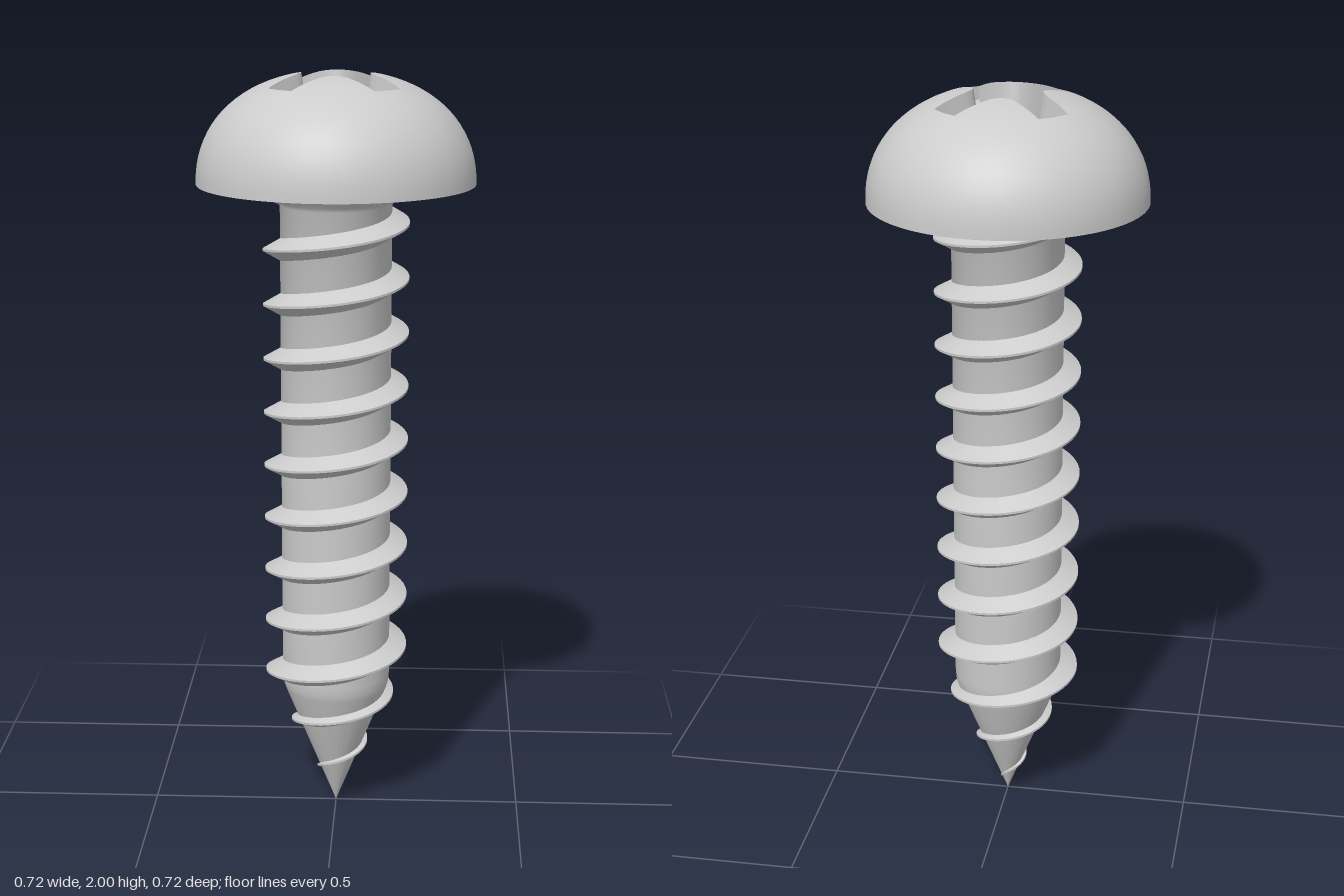
import * as THREE from 'three';
import { toCreasedNormals } from 'three/addons/utils/BufferGeometryUtils.js';

const HEAD_R = 0.36, HEAD_Y = 1.72, HEAD_H = 0.286;
const SHANK_R = 0.145, CONE_TOP = 0.36, PITCH = 0.1445;
const material = new THREE.MeshStandardMaterial({ color: 0xcccccc });
const V = (x, y, z) => new THREE.Vector3(x, y, z);

// Skin a list of cross-sections with triangles, skipping empty ones
function loft(sections, closed, crease) {
  const pos = [], tri = new THREE.Triangle();
  const add = (a, b, c) => {
    if (tri.set(a, b, c).getArea() > 1e-9) for (const p of [a, b, c]) pos.push(p.x, p.y, p.z);
  };
  for (let s = 0; s < sections.length - 1; s++) {
    const a = sections[s], b = sections[s + 1], n = a.length;
    for (let i = 0; i < (closed ? n : n - 1); i++) {
      const j = (i + 1) % n;
      add(a[i], a[j], b[j]);
      add(a[i], b[j], b[i]);
    }
  }
  const g = new THREE.BufferGeometry();
  g.setAttribute('position', new THREE.Float32BufferAttribute(pos, 3));
  return toCreasedNormals(g, crease);
}

function part(name, geometry) {
  const mesh = new THREE.Mesh(geometry, material);
  mesh.name = name;
  return mesh;
}

function lathe(points, crease) {
  const profile = points.map(([r, y]) => new THREE.Vector2(r, y));
  return toCreasedNormals(new THREE.LatheGeometry(profile, 72), crease);
}

const domeY = r => HEAD_Y + HEAD_H * Math.pow(Math.max(0, 1 - Math.pow(r / HEAD_R, 2.2)), 1 / 2.2);

// Cross recess: matching loops for the rim, the foot of the walls and the floor
function recessLoops() {
  const innerY = 1.79, outerY = 1.935;
  const half = [];
  const put = (rx, rz, fx, fz, fy, gx, gz) =>
    half.push([V(rx, domeY(Math.hypot(rx, rz)), rz), V(fx, fy, fz), V(gx, innerY, gz)]);
  // blunt corner between two arms
  put(0, 0.088, 0, 0.056, innerY, 0, 0.056);
  put(0.009, 0.089, 0.009, 0.057, innerY, 0.009, 0.057);
  put(0.018, 0.093, 0.018, 0.061, innerY, 0.018, 0.061);
  // straight side of an arm
  const lerp = THREE.MathUtils.lerp;
  for (let i = 0; i <= 4; i++) {
    const t = i / 4;
    put(lerp(0.031, 0.103, t), lerp(0.1, 0.165, t), lerp(0.031, 0.103, t), lerp(0.068, 0.165, t),
      lerp(innerY, outerY, t), 0.031, 0.068);
  }
  // rounded end of the arm, up to its middle
  const a0 = Math.atan2(0.103, 0.165), b0 = Math.atan2(0.031, 0.068);
  const ro = Math.hypot(0.103, 0.165), ri = Math.hypot(0.031, 0.068);
  for (let i = 1; i <= 3; i++) {
    const a = lerp(a0, Math.PI / 4, i / 3), b = lerp(b0, Math.PI / 4, i / 3);
    const x = ro * Math.sin(a), z = ro * Math.cos(a);
    put(x, z, x, z, outerY, ri * Math.sin(b), ri * Math.cos(b));
  }
  // mirror across the arm, then turn four times
  const mirrored = half.slice(1, -1).reverse().map(c => c.map(p => V(p.z, p.y, p.x)));
  const quarter = [...half, ...mirrored];
  const columns = [];
  for (let q = 0; q < 4; q++) {
    for (const c of quarter) columns.push(c.map(p => p.clone().applyAxisAngle(V(0, 1, 0), q * Math.PI / 2)));
  }
  return [0, 1, 2].map(k => columns.map(c => c[k]));
}

function createHead() {
  const head = new THREE.Group();
  head.name = 'head';
  const [rim, foot, floor] = recessLoops();
  // dome rings run from the round edge to the cross-shaped rim
  const rings = [];
  for (let s = 0; s <= 18; s++) {
    const t = (s / 18) ** 2;
    rings.push(rim.map(p => {
      const r0 = Math.hypot(p.x, p.z), r = THREE.MathUtils.lerp(HEAD_R, r0, t);
      return V(p.x / r0 * r, domeY(r), p.z / r0 * r);
    }));
  }
  head.add(part('dome', loft(rings, true, 0.9)));
  const centre = floor.map(() => V(0, 1.77, 0));
  head.add(part('driveRecess', loft([rim, foot, floor, centre], true, 0.35)));
  head.add(part('headUnderside', lathe([[0.19, HEAD_Y], [HEAD_R, HEAD_Y]], 0.5)));
  return head;
}

// Helical ridge that fades out towards the tip
function createThread() {
  const sections = [], steps = 620, y0 = 0.045, y1 = 1.735;
  for (let i = 0; i <= steps; i++) {
    const y = THREE.MathUtils.lerp(y0, y1, i / steps);
    const phi = (y - 0.463) / PITCH * Math.PI * 2;
    const core = SHANK_R * Math.min(1, y / CONE_TOP);
    const crest = Math.max(core, Math.min(0.191, 0.49 * y));
    const h = 0.032 * Math.min(1, (crest - core) / 0.045) + 0.002;
    const root = Math.max(0, core - 0.008);
    sections.push([[root, h], [crest, 0.003], [crest, -0.003], [root, -h]].map(([r, dy]) =>
      V(r * Math.cos(phi), y + dy, -r * Math.sin(phi))));
  }
  return part('thread', loft(sections, false, 0.5));
}

export function createModel() {
  const screw = new THREE.Group();
  screw.name = 'screw';
  // pointed tip, straight shank and flared neck
  screw.add(part('shank', lathe([
    [0, 0], [0.07, 0.174], [0.138, 0.343], [0.143, 0.36], [SHANK_R, 0.385], [SHANK_R, 1.0], [SHANK_R, 1.665],
    [0.152, 1.676], [0.168, 1.695], [0.185, 1.711], [0.2, HEAD_Y],
  ], 0.6)));
  screw.add(createThread());
  screw.add(createHead());
  return screw;
}
